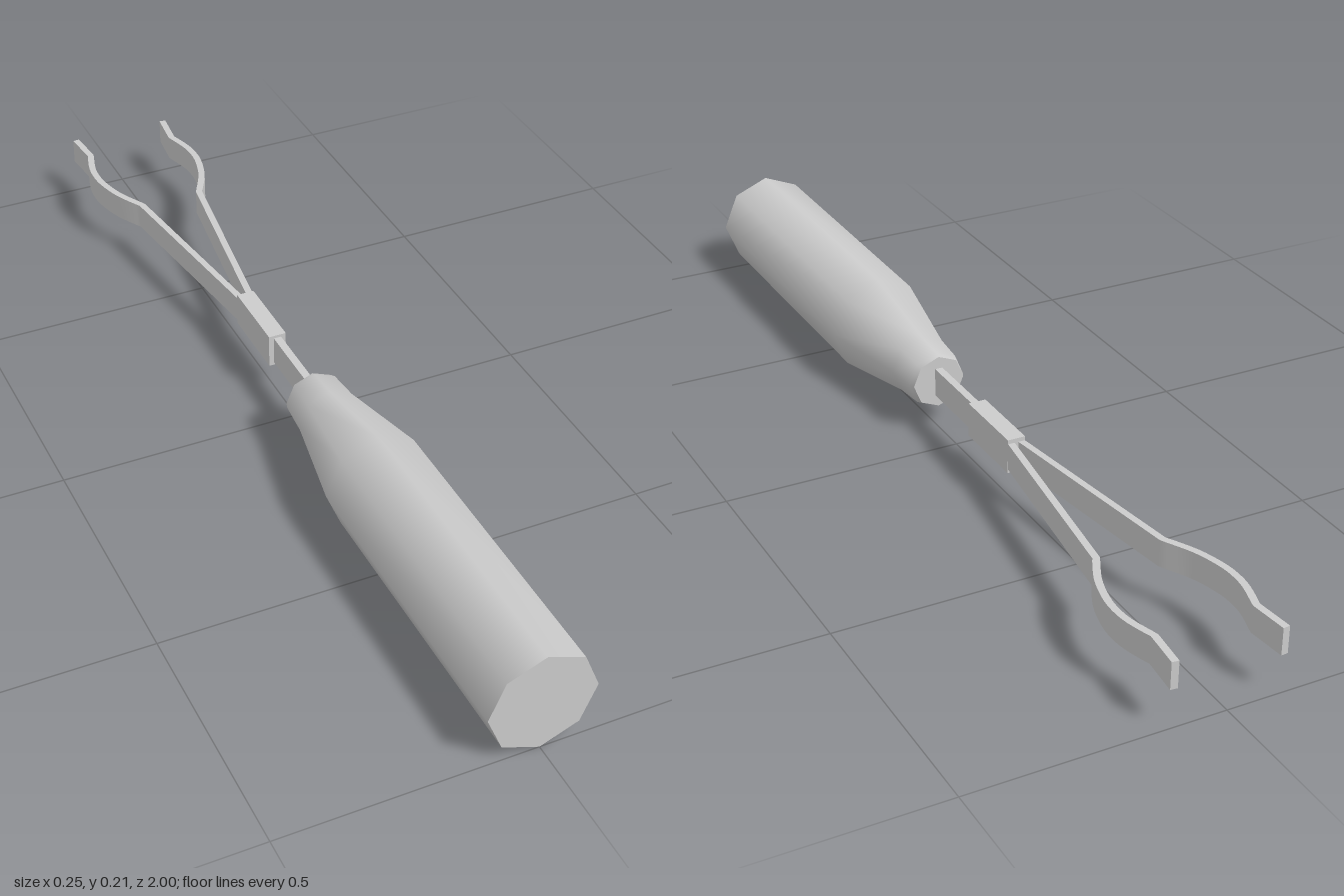
import * as THREE from 'three';
import { toCreasedNormals } from 'three/addons/utils/BufferGeometryUtils.js';

const MID_Y = 0.107; // height of the tool's long axis
const material = new THREE.MeshStandardMaterial({ color: 0xcccccc });

function addMesh(group, name, geometry) {
  const mesh = new THREE.Mesh(geometry, material);
  mesh.name = name;
  group.add(mesh);
  return mesh;
}

// Box lying on the long axis between two z positions
function axisBox(group, name, width, height, z0, z1) {
  const mesh = addMesh(group, name, new THREE.BoxGeometry(width, height, z1 - z0));
  mesh.position.set(0, MID_Y, (z0 + z1) / 2);
}

// Flat strip of constant thickness following a path of (x, -z) points
function stripGeometry(path, thickness, height) {
  const left = [], right = [];
  path.forEach((p, i) => {
    const a = path[Math.max(i - 1, 0)], b = path[Math.min(i + 1, path.length - 1)];
    const t = b.clone().sub(a).normalize().multiplyScalar(thickness / 2);
    left.push(new THREE.Vector2(p.x - t.y, p.y + t.x));
    right.unshift(new THREE.Vector2(p.x + t.y, p.y - t.x));
  });
  const shape = new THREE.Shape([...left, ...right]);
  const geometry = new THREE.ExtrudeGeometry(shape, { depth: height, bevelEnabled: false });
  geometry.translate(0, 0, -height / 2).rotateX(-Math.PI / 2);
  return toCreasedNormals(geometry, 0.45);
}

export function createModel() {
  const group = new THREE.Group();

  // Eight-sided handle, tapering to a neck
  const profile = [
    [0, 0.08], [0.056, 0.08], [0.061, 0.092], [0.066, 0.16],
    [0.106, 0.37], [0.106, 1], [0, 1],
  ].map(([r, z]) => new THREE.Vector2(r, z));
  const handle = new THREE.LatheGeometry(profile, 8).rotateX(Math.PI / 2);
  addMesh(group, 'handle', toCreasedNormals(handle, 1.0)).position.y = MID_Y;

  // Flat shank and the collar that clamps the prongs
  axisBox(group, 'shank', 0.016, 0.06, -0.1, 0.09);
  axisBox(group, 'collar', 0.037, 0.072, -0.255, -0.09);

  // Mirrored spring prongs: straight arm, bulged grip, flared tip
  for (const side of [1, -1]) {
    const v = (x, y) => new THREE.Vector2(side * x, y);
    const bulge = new THREE.SplineCurve([
      v(0.068, 0.675), v(0.099, 0.735), v(0.115, 0.79),
      v(0.119, 0.83), v(0.115, 0.87), v(0.1, 0.922),
    ]).getPoints(20);
    const path = [v(0.009, 0.24), ...bulge, v(0.108, 1)];
    const name = side > 0 ? 'leftProng' : 'rightProng';
    addMesh(group, name, stripGeometry(path, 0.014, 0.055)).position.y = MID_Y;
  }

  return group;
}
